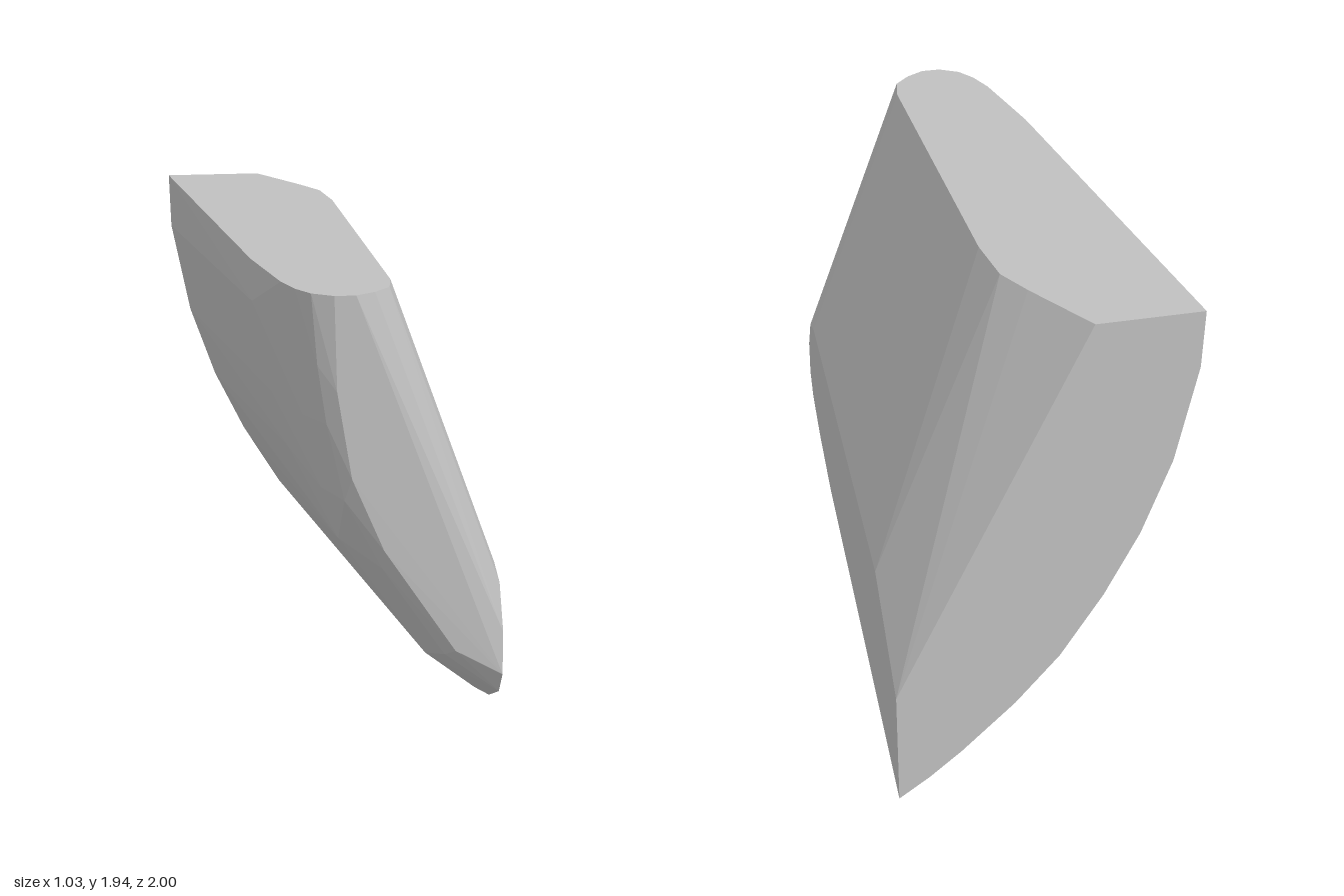
import * as THREE from 'three';
import { ConvexGeometry } from 'three/addons/geometries/ConvexGeometry.js';

const TOP = 1.94, SIDE = 0.515;

// Flat top outline as [x, z]
const topOutline = [
  [-0.52, -1], [-0.155, -1], [0, -0.75], [0.065, -0.63], [0.093, -0.44],
  [0.137, 0.8], [0.12, 0.9], [0.065, 0.957], [0, 0.995], [-0.07, 0.995],
  [-0.14, 0.955], [-0.185, 0.89], [-0.222, 0.795], [-0.295, 0.475],
];

// Flat side outline as [y, z]
const sideOutline = [
  [0, -1], [0.49, -1], [0.77, -0.63], [0.92, 0.8], [0.885, 0.9], [0.74, 0.985],
  [0.585, 1], [0.495, 0.95], [0.4, 0.79], [0.3, 0.53],
];

// Curved outer rows between the two flat ends: depth z, then [x, y] points
const outerRows = [
  { z: -1, points: [[-0.515, 1.73], [-0.445, 1.37], [-0.345, 1.08], [-0.225, 0.83],
    [-0.075, 0.58], [0.085, 0.385], [0.28, 0.19], [0.4, 0.085]] },
  { z: 0.5, points: [[-0.295, 1.8], [-0.235, 1.48], [-0.175, 1.27], [-0.1, 1.1],
    [-0.01, 0.93], [0.08, 0.77], [0.25, 0.55], [0.37, 0.42]] },
  { z: 0.79, points: [[-0.185, 1.73], [-0.15, 1.48], [-0.09, 1.22], [-0.03, 1.03],
    [0.07, 0.9], [0.17, 0.74], [0.28, 0.58]] },
  { z: 0.955, points: [[-0.12, 1.7], [-0.09, 1.5], [-0.03, 1.23], [0.1, 0.98], [0.32, 0.65]] },
  { z: 0.995, points: [[-0.06, 1.62], [-0.01, 1.32], [0.1, 1.06], [0.35, 0.68]] },
];

export function createModel() {
  const points = [
    ...topOutline.map(([x, z]) => new THREE.Vector3(x, TOP, z)),
    ...sideOutline.map(([y, z]) => new THREE.Vector3(SIDE, y, z)),
    ...outerRows.flatMap(({ z, points }) => points.map(([x, y]) => new THREE.Vector3(x, y, z))),
  ];

  const grey = new THREE.MeshStandardMaterial({ color: 0xc0c0c0, flatShading: true });
  grey.name = 'light grey';

  // Faceted solid bend joining the top face to the side face
  const bend = new THREE.Mesh(new ConvexGeometry(points), grey);
  bend.name = 'curvedBlock';

  const model = new THREE.Group();
  model.name = 'facetedBend';
  model.add(bend);
  return model;
}
